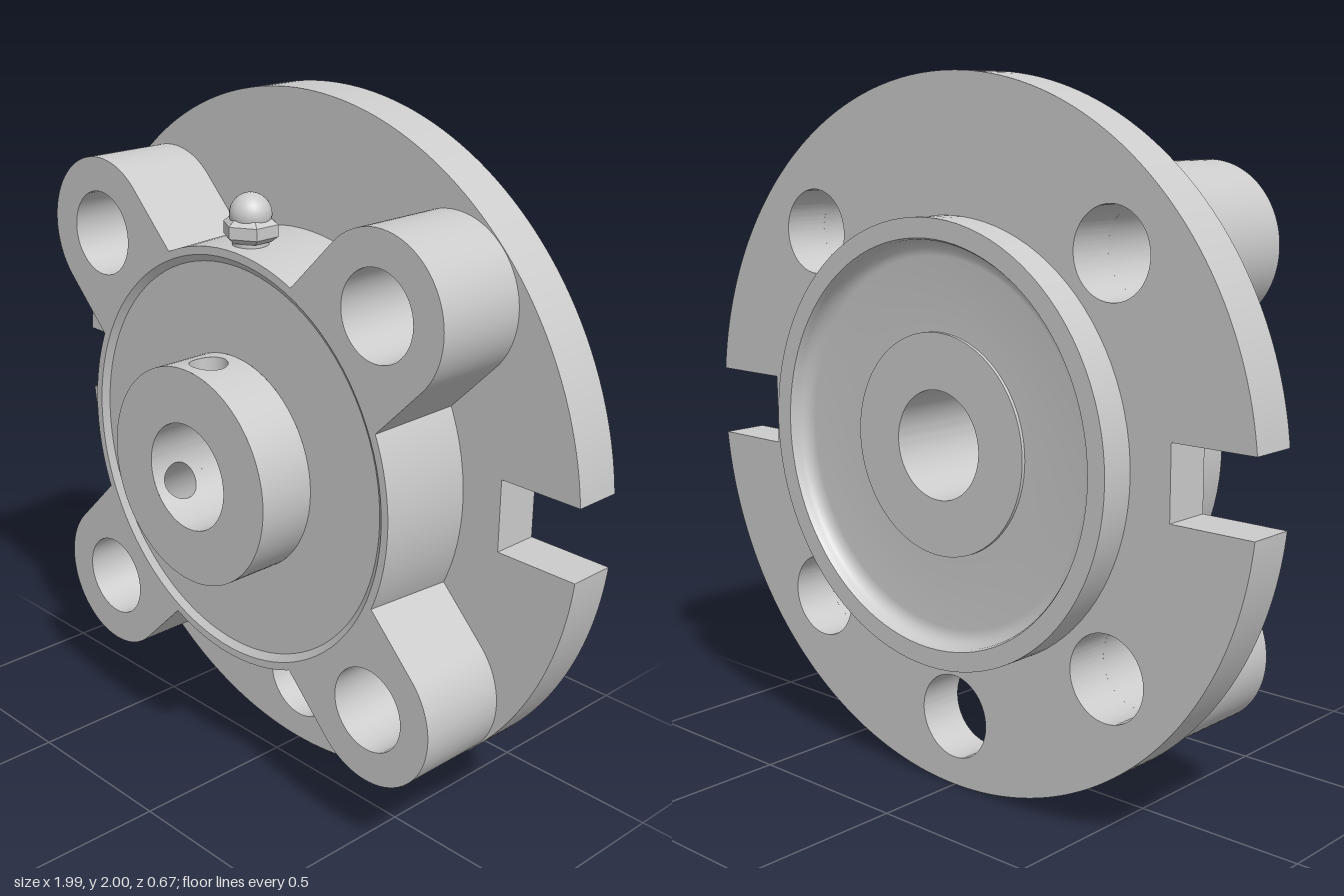
import * as THREE from 'three';
import { toCreasedNormals } from 'three/addons/utils/BufferGeometryUtils.js';

const mat = new THREE.MeshStandardMaterial({ color: 0xcccccc });
const thinMat = new THREE.MeshStandardMaterial({ color: 0xcccccc, side: THREE.DoubleSide });

const FLANGE_BACK = -0.232, FLANGE_FRONT = -0.093, FACE = 0.18;
const BOLT_R = 0.122, BOLT_DIST = 0.778, EAR_R = 0.22;
const BORE = 0.153, HUB = 0.31, HUB_BASE = 0.165, HUB_FRONT = 0.335;
const SCREW_R = 0.053, SCREW_HALF = (HUB_FRONT - HUB_BASE) / 2, SCREW_Z = (HUB_FRONT + HUB_BASE) / 2;

function add(parent, name, geometry, material = mat) {
  const mesh = new THREE.Mesh(geometry, material);
  mesh.name = name;
  parent.add(mesh);
  return mesh;
}

// Profile of [radius, z] turned about the z axis; angles run anticlockwise from +x
function turned(points, start = 0, length = Math.PI * 2) {
  const segments = Math.ceil(96 * length / (Math.PI * 2));
  const profile = points.map(([r, z]) => new THREE.Vector2(r, z));
  const g = new THREE.LatheGeometry(profile, segments, start + Math.PI / 2, length);
  return toCreasedNormals(g.rotateX(Math.PI / 2), 0.45);
}

function extruded(shape, z0, z1, curveSegments) {
  const g = new THREE.ExtrudeGeometry(shape, { depth: z1 - z0, bevelEnabled: false, curveSegments });
  return toCreasedNormals(g.translate(0, 0, z0), 0.45);
}

function circleHole(x, y, r) {
  return new THREE.Path().absarc(x, y, r, 0, Math.PI * 2, true);
}

// Disc with two side slots, bolt holes and one dowel hole
function flangeShape() {
  const half = 0.102, depth = 0.745, a = Math.asin(half);
  const s = new THREE.Shape();
  s.absarc(0, 0, 1, a, Math.PI - a, false);
  s.lineTo(-depth, half);
  s.lineTo(-depth, -half);
  s.absarc(0, 0, 1, Math.PI + a, Math.PI * 2 - a, false);
  s.lineTo(depth, -half);
  s.lineTo(depth, half);
  s.closePath();
  for (let i = 0; i < 4; i++) {
    const t = Math.PI / 4 + i * Math.PI / 2;
    s.holes.push(circleHole(BOLT_DIST * Math.cos(t), BOLT_DIST * Math.sin(t), BOLT_R));
  }
  s.holes.push(circleHole(0, -0.795, BOLT_R), circleHole(0, 0, 0.6));
  return s;
}

// Bolt ear pointing along +x, its root following the round body
function earShape() {
  const a = Math.asin(EAR_R / 0.6);
  const s = new THREE.Shape();
  s.absarc(BOLT_DIST, 0, EAR_R, -Math.PI / 2, Math.PI / 2, false);
  s.absarc(0, 0, 0.6, a, -a, true);
  s.closePath();
  s.holes.push(circleHole(BOLT_DIST, 0, BOLT_R));
  return s;
}

// Lift vertices onto a cylinder around z
function wrap(g, radiusOf, setNormals) {
  const p = g.attributes.position, n = g.attributes.normal;
  for (let i = 0; i < p.count; i++) {
    const x = p.getX(i), r = radiusOf(p.getY(i));
    p.setY(i, Math.sqrt(r * r - x * x));
    if (setNormals) n.setXYZ(i, x / r, p.getY(i) / r, 0);
  }
  return g.translate(0, 0, SCREW_Z);
}

// Square patch of cylinder wall with a round hole in it
function holedPatch(R) {
  const g = new THREE.RingGeometry(SCREW_R, SCREW_HALF, 48, 6);
  const p = g.attributes.position;
  for (let i = 0; i < p.count; i++) {
    const x = p.getX(i), y = p.getY(i), d = Math.hypot(x, y);
    const t = (d - SCREW_R) / (SCREW_HALF - SCREW_R);
    const k = 1 + t * (d / Math.max(Math.abs(x), Math.abs(y)) - 1);
    p.setXY(i, x * k, y * k);
  }
  return wrap(g.rotateX(-Math.PI / 2), () => R, true);
}

// Hub wall of radius R, leaving gaps for the two screw patches
function wallArcs(parent, name, R, points) {
  const w = Math.asin(SCREW_HALF / R), top = Math.PI / 2, step = Math.PI * 2 / 3;
  add(parent, name, turned(points, top + w, step - 2 * w));
  add(parent, name, turned(points, top + step + w, 2 * step - 2 * w));
}

export function createModel() {
  const model = new THREE.Group();
  model.name = 'flangedBearingUnit';
  const unit = new THREE.Group();
  unit.name = 'housing';
  unit.position.y = 1;
  model.add(unit);

  add(unit, 'flange', extruded(flangeShape(), FLANGE_BACK, FLANGE_FRONT, 64));

  for (let i = 0; i < 4; i++) {
    const ear = add(unit, 'boltEar', extruded(earShape(), FLANGE_FRONT, FACE, 32));
    ear.rotation.z = Math.PI / 4 + i * Math.PI / 2;
  }

  // Tapered body, front lip and recessed front face
  add(unit, 'body', turned([
    [0.62, FLANGE_FRONT], [0.608, FACE], [0.585, FACE], [0.565, HUB_BASE], [HUB, HUB_BASE],
  ]));

  // Rear spigot: raised centre ring, floor, rounded cove and rim
  const rear = [[BORE, HUB_BASE], [BORE, -0.29], [HUB, -0.29], [HUB, -0.28]];
  for (let i = 0; i <= 6; i++) {
    const a = i / 6 * Math.PI / 2;
    rear.push([0.515 + 0.045 * Math.sin(a), -0.325 + 0.045 * Math.cos(a)]);
  }
  rear.push([0.565, -0.333], [0.62, -0.333], [0.62, FLANGE_BACK]);
  add(unit, 'rearSpigot', turned(rear));

  // Hub collar with two radial screw holes
  const hub = new THREE.Group();
  hub.name = 'hub';
  unit.add(hub);
  add(hub, 'hubFace', turned([[HUB, HUB_FRONT], [BORE, HUB_FRONT]]));
  wallArcs(hub, 'hubWall', HUB, [[HUB, HUB_BASE], [HUB, HUB_FRONT]]);
  wallArcs(hub, 'boreWall', BORE, [[BORE, HUB_FRONT], [BORE, HUB_BASE]]);
  for (const angle of [0, Math.PI * 2 / 3]) {
    const screw = new THREE.Group();
    screw.name = 'screwHole';
    screw.rotation.z = angle;
    add(screw, 'hubWallPatch', holedPatch(HUB), thinMat);
    add(screw, 'boreWallPatch', holedPatch(BORE), thinMat);
    const tube = new THREE.CylinderGeometry(SCREW_R, SCREW_R, 1, 48, 1, true);
    add(screw, 'screwHoleWall', wrap(tube, y => (y > 0 ? HUB : BORE), false), thinMat);
    hub.add(screw);
  }

  // Grease nipple on top of the body
  const nipple = new THREE.Group();
  nipple.name = 'greaseNipple';
  nipple.position.set(0, 0.6, 0.095);
  unit.add(nipple);
  const stage = (name, rTop, rBottom, y0, y1, sides) => {
    const g = new THREE.CylinderGeometry(rTop, rBottom, y1 - y0, sides).translate(0, (y0 + y1) / 2, 0);
    add(nipple, name, toCreasedNormals(g, 0.45));
  };
  stage('neck', 0.05, 0.05, -0.02, 0.03, 24);
  stage('hexChamfer', 0.077, 0.058, 0.02, 0.035, 6);
  stage('hexNut', 0.077, 0.077, 0.035, 0.068, 6);
  stage('hexTop', 0.06, 0.077, 0.068, 0.082, 6);
  add(nipple, 'dome', new THREE.SphereGeometry(0.058, 24, 16).translate(0, 0.092, 0));

  return model;
}
